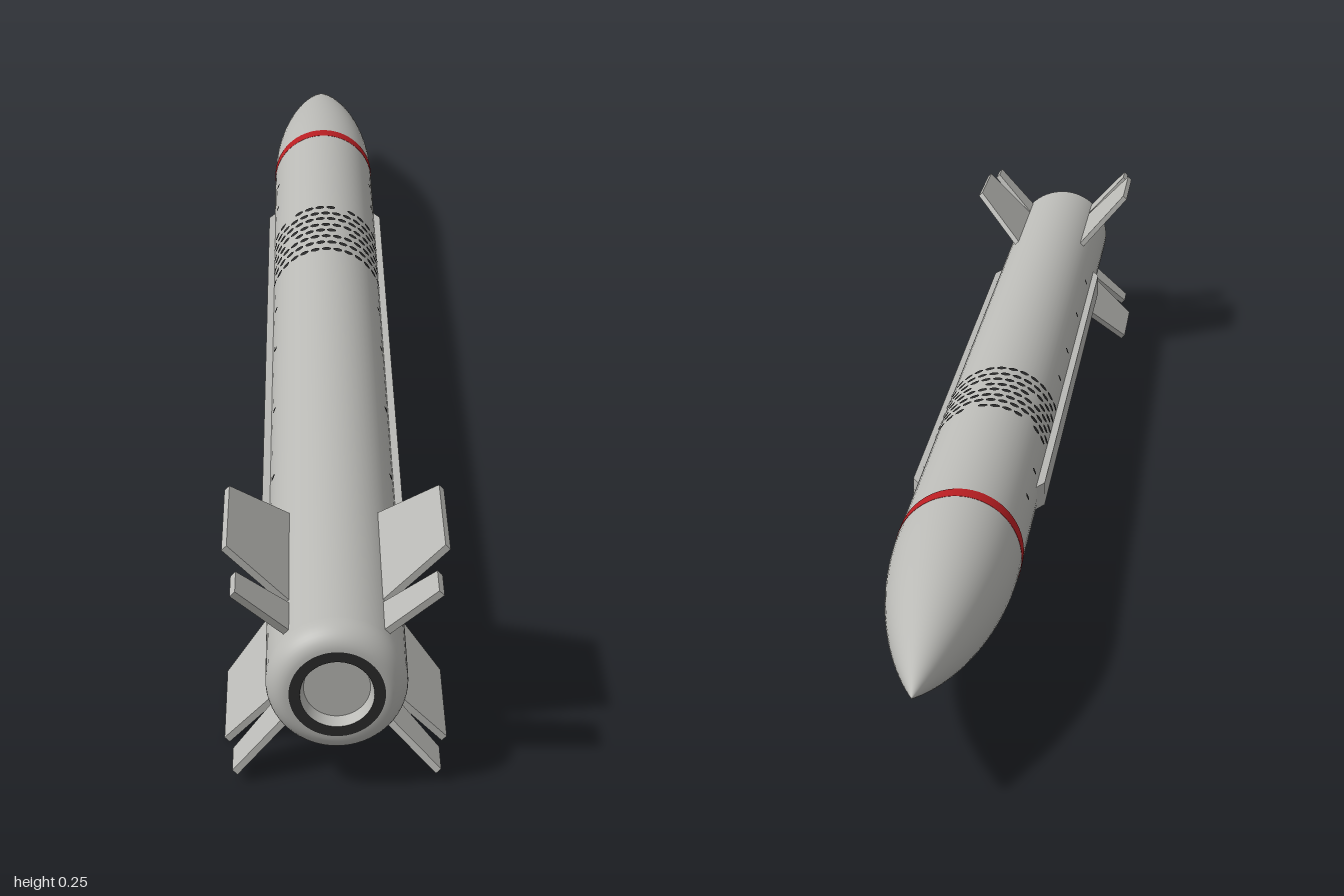
import * as THREE from 'three';
import { mergeGeometries } from 'three/addons/utils/BufferGeometryUtils.js';

const R = 0.077;        // body radius
const AXIS_Y = 0.1246;  // height of the long axis

const mat = (name, color) => {
  const m = new THREE.MeshStandardMaterial({ color });
  m.name = name;
  return m;
};

// Surface of revolution about z from [radius, z] pairs, ordered along +z on the outside
function turned(points) {
  return new THREE.LatheGeometry(points.map(([r, z]) => new THREE.Vector2(r, z)), 64).rotateX(Math.PI / 2);
}

// Flat plate from a [radius, z] outline, standing out along +x
function plate(outline, thickness) {
  const shape = new THREE.Shape(outline.map(([r, z]) => new THREE.Vector2(r, z)));
  return new THREE.ExtrudeGeometry(shape, { depth: thickness, bevelEnabled: false })
    .translate(0, 0, -thickness / 2)
    .rotateX(Math.PI / 2);
}

// Small disc lying on the body at a given angle and z
function spot(angle, z, width, length) {
  return new THREE.CircleGeometry(1, 10)
    .scale(length / 2, width / 2, 1)
    .rotateY(Math.PI / 2)
    .translate(R + 0.0009, 0, z)
    .rotateZ(angle);
}

export function createModel() {
  const grey = mat('body grey', 0xb9b9b5);
  const dark = mat('dark grey', 0x2a2a2a);
  const red = mat('band red', 0xb81e22);

  const model = new THREE.Group();
  model.name = 'missile';
  const rocket = new THREE.Group();
  rocket.name = 'rocket';
  rocket.position.y = AXIS_Y;
  model.add(rocket);

  const add = (name, geometry, material) => {
    const mesh = new THREE.Mesh(geometry, material);
    mesh.name = name;
    rocket.add(mesh);
    return mesh;
  };

  // Ogive nose
  const noseLength = 0.412;
  const rho = (R * R + noseLength * noseLength) / (2 * R);
  const nose = [];
  for (let i = 0; i <= 24; i++) {
    const z = -1 + (noseLength * i) / 24;
    const d = -1 + noseLength - z;
    nose.push([Math.max(0, Math.sqrt(rho * rho - d * d) + R - rho), z]);
  }
  add('nose', turned(nose), grey);

  // Red band and long tube
  add('band', turned([[R, -0.588], [R + 0.0005, -0.588], [R + 0.0005, -0.563], [R, -0.563]]), red);
  add('body', turned([[R, -0.59], [R, 0.97]]), grey);

  // Rounded tail and recessed nozzle
  const tail = [];
  for (let i = 0; i <= 10; i++) {
    const a = (i / 10) * Math.PI / 2;
    tail.push([0.052 + 0.025 * Math.cos(a), 0.97 + 0.03 * Math.sin(a)]);
  }
  add('tail', turned(tail), grey);
  add('nozzleRing', turned([[0.052, 1], [0.04, 1]]), dark);
  add('nozzleWall', turned([[0.04, 1], [0.036, 0.985]]), grey);
  add('nozzlePlug', turned([[0.036, 0.985], [0, 0.985]]), grey);

  // Four large fins with four swept control fins behind them
  const fin = plate([[0.07, 0.69], [0.172, 0.755], [0.172, 0.897], [0.07, 0.897]], 0.008);
  const controlFin = plate([[0.07, 0.9], [0.157, 0.935], [0.157, 0.979], [0.07, 0.96]], 0.008);
  for (let i = 0; i < 4; i++) {
    const angle = Math.PI / 4 + (i * Math.PI) / 2;
    add('fin', fin, grey).rotation.z = angle;
    add('controlFin', controlFin, grey).rotation.z = angle;
  }

  // Cable ducts along both sides
  const duct = plate([[0.065, -0.4], [0.085, -0.36], [0.085, 0.645], [0.065, 0.7]], 0.03);
  for (const angle of [0, Math.PI]) add('sideDuct', duct, grey).rotation.z = angle;

  // Rows of dark ports around the body, left open at the ducts
  const ports = [];
  const count = 30;
  [-0.241, -0.217, -0.195, -0.171, -0.149, -0.126, -0.102, -0.076].forEach((z, row) => {
    for (let i = 0; i < count; i++) {
      const angle = ((i + (row % 2) / 2) / count) * Math.PI * 2;
      if (Math.abs(Math.sin(angle)) < 0.24) continue;
      if (row % 4 === 0 && i % 5 === 1) continue;
      ports.push(spot(angle, z, 0.0135, 0.0125));
    }
  });
  add('ports', mergeGeometries(ports), dark);

  // Single fasteners above each duct
  const fasteners = [];
  for (const z of [0.55, 0.36, 0.17, 0.035, -0.36, -0.455]) {
    for (const angle of [0.4, Math.PI - 0.4]) fasteners.push(spot(angle, z, 0.009, 0.009));
  }
  add('fasteners', mergeGeometries(fasteners), dark);

  return model;
}
